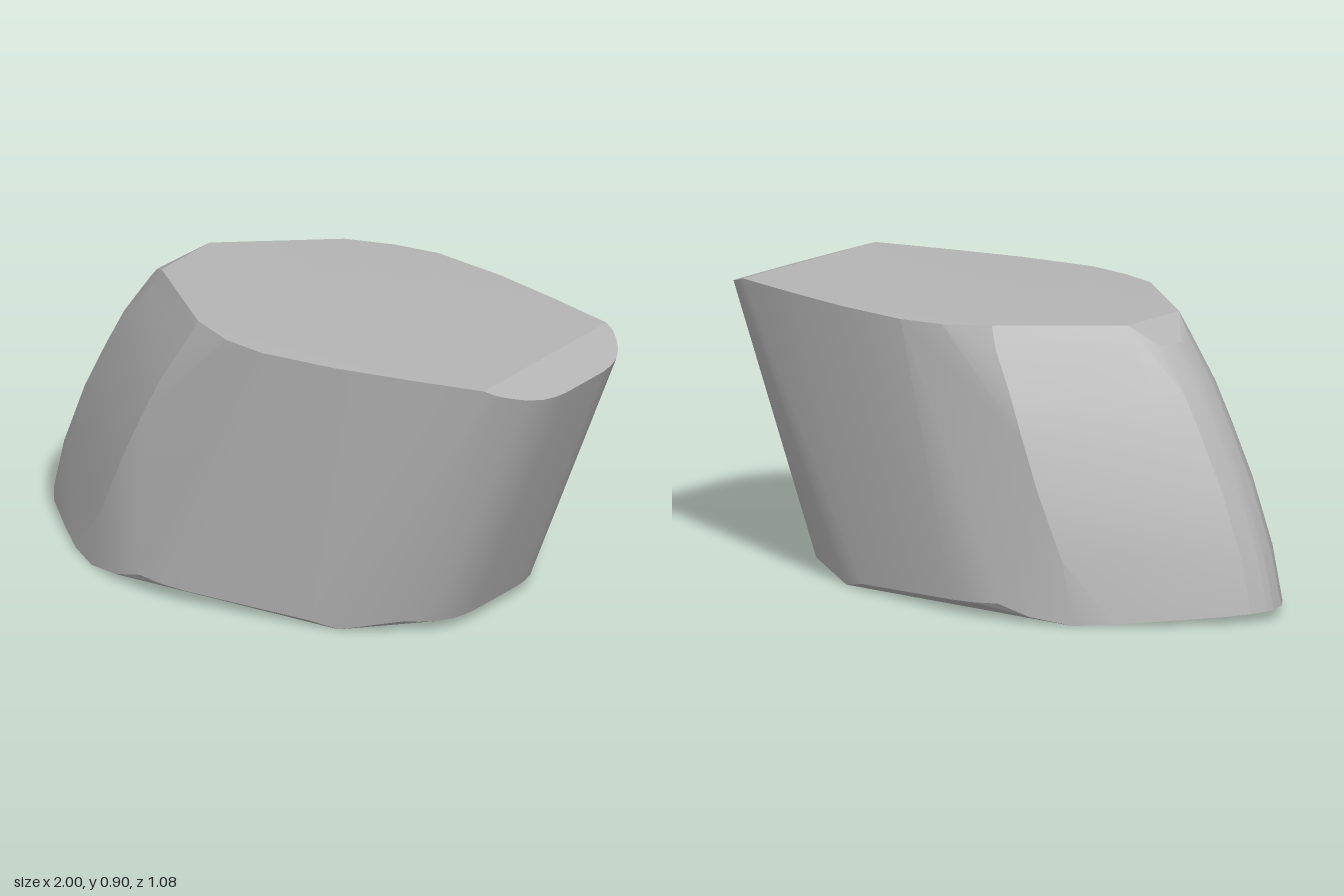
import * as THREE from 'three';
import { toCreasedNormals } from 'three/addons/utils/BufferGeometryUtils.js';
import { ConvexGeometry } from 'three/addons/geometries/ConvexGeometry.js';

// Half outlines (z >= 0) as [x, y, z]; each is mirrored across z.
const topFace = [
  [-0.53, 0.905, 0.13], [-0.2, 0.905, 0.4], [-0.05, 0.9, 0.462], [0.1, 0.9, 0.485],
  [0.36, 0.9, 0.453], [0.61, 0.9, 0.397], [0.85, 0.9, 0.335],
];
const bottomFace = [
  [-0.57, 0, 0.455], [-0.44, 0.02, 0.51], [-0.33, 0.053, 0.535], [-0.24, 0.045, 0.54],
  [-0.15, 0.04, 0.533], [0.36, 0, 0.43], [0.27, 0.02, 0.463],
  [-0.8, 0.016, 0.275], [-0.68, 0.008, 0.385],
];
// Rounded tail: [x, z] at the top, bottom y; the bottom is sheared toward the nose.
const tail = [
  [1, 0.1, 0.03], [0.995, 0.15, 0.03], [0.982, 0.2, 0.031], [0.955, 0.25, 0.033],
  [0.92, 0.29, 0.036], [0.885, 0.32, 0.04],
];
// Curved nose ribs: [tip x, y, shoulder x, shoulder z]
const ribs = [
  [-1, 0.03, -0.62, 0.425], [-0.96, 0.2, -0.53, 0.46], [-0.88, 0.41, -0.44, 0.47],
  [-0.8, 0.57, -0.37, 0.46], [-0.73, 0.7, -0.31, 0.445], [-0.63, 0.84, -0.23, 0.42],
];

function bodyPoints() {
  const half = [...topFace, ...bottomFace];
  for (const [x, z, y] of tail) {
    half.push([x, 0.9 - (x - 0.85) / 3, z], [x - 0.34, y, z + 0.015]);
  }
  for (const [tip, y, sx, sz] of ribs) {
    // Rounded tip running into a straight flank
    const low = y < 0.1;
    half.push([tip, y, 0.015], [tip + 0.018, low ? 0.029 : y, 0.075],
      [tip + 0.07, low ? 0.025 : y, 0.148]);
    if (!low) half.push([sx, y, sz]);
  }
  return half.flatMap(([x, y, z]) => [new THREE.Vector3(x, y, z), new THREE.Vector3(x, y, -z)]);
}

export function createModel() {
  const group = new THREE.Group();
  group.name = 'slantedBlock';
  const grey = new THREE.MeshStandardMaterial({ color: 0xb4b4b4 });
  grey.name = 'plain grey';
  // Convex body with soft flanks and sharp rims
  const body = new THREE.Mesh(toCreasedNormals(new ConvexGeometry(bodyPoints()), 0.28), grey);
  body.name = 'body';
  group.add(body);
  return group;
}
